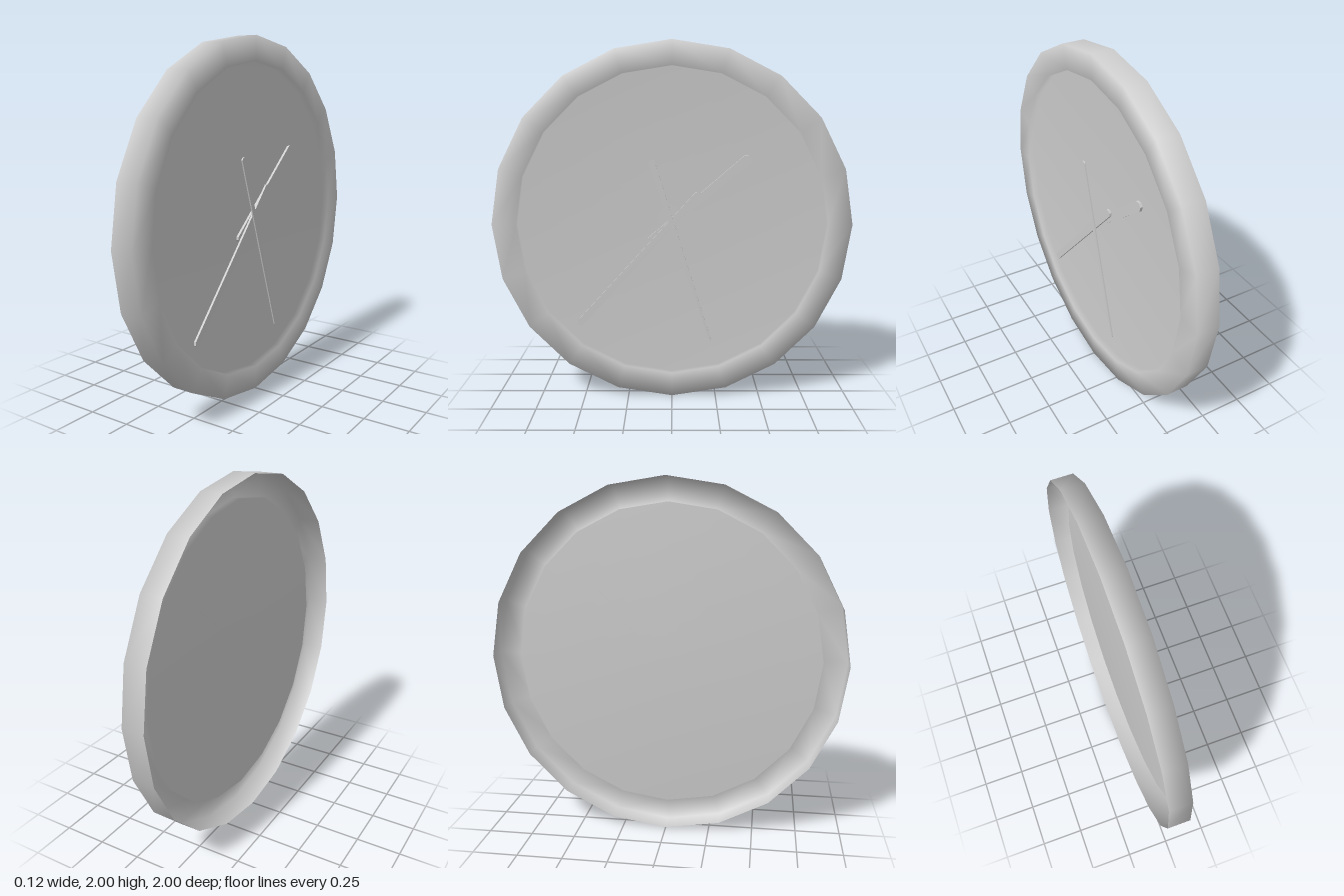
import * as THREE from 'three';

const grey = new THREE.MeshStandardMaterial({ color: 0xcccccc, side: THREE.DoubleSide });
const flatGrey = new THREE.MeshStandardMaterial({ color: 0xcccccc, flatShading: true });

// Flat hand from tail to tip with clipped corners, lying at depth z
function hand(name, tail, tip, tailWidth, tipWidth, z, depth) {
  const dx = tip[0] - tail[0], dy = tip[1] - tail[1];
  const length = Math.hypot(dx, dy);
  const a = tailWidth / 2, b = tipWidth / 2;
  const shape = new THREE.Shape([
    [0, -a * 0.4], [a * 0.6, -a], [length - b * 0.8, -b], [length, -b * 0.4],
    [length, b * 0.4], [length - b * 0.8, b], [a * 0.6, a], [0, a * 0.4],
  ].map(([x, y]) => new THREE.Vector2(x, y)));
  const geometry = new THREE.ExtrudeGeometry(shape, { depth, bevelEnabled: false });
  const mesh = new THREE.Mesh(geometry, flatGrey);
  mesh.name = name;
  mesh.position.set(tail[0], tail[1], z);
  mesh.rotation.z = Math.atan2(dy, dx);
  return mesh;
}

export function createModel() {
  const model = new THREE.Group();
  model.name = 'wallClock';

  // Clock built facing local +z, then turned to face +x
  const clock = new THREE.Group();
  clock.name = 'clock';
  clock.position.y = 1;
  clock.rotation.y = Math.PI / 2;
  model.add(clock);

  // Open-backed rim and recessed dial in one smooth 20-sided shell
  const profile = [
    [1, -0.0625], [1, 0.0625], [0.865, 0.0625], [0.865, 0.022], [0, 0.022],
  ].map(([r, h]) => new THREE.Vector2(r, h));
  const shell = new THREE.Mesh(new THREE.LatheGeometry(profile, 20).rotateX(Math.PI / 2), grey);
  shell.name = 'rimAndDial';
  clock.add(shell);

  // Hands, stacked towards the front
  clock.add(
    hand('hourHand', [-0.13, -0.1], [0.435, 0.375], 0.035, 0.055, 0.022, 0.014),
    hand('minuteHand', [0.155, 0.175], [-0.53, -0.58], 0.042, 0.04, 0.036, 0.012),
    hand('secondHand', [-0.115, 0.355], [0.22, -0.675], 0.036, 0.012, 0.052, 0.008),
  );
  return model;
}
